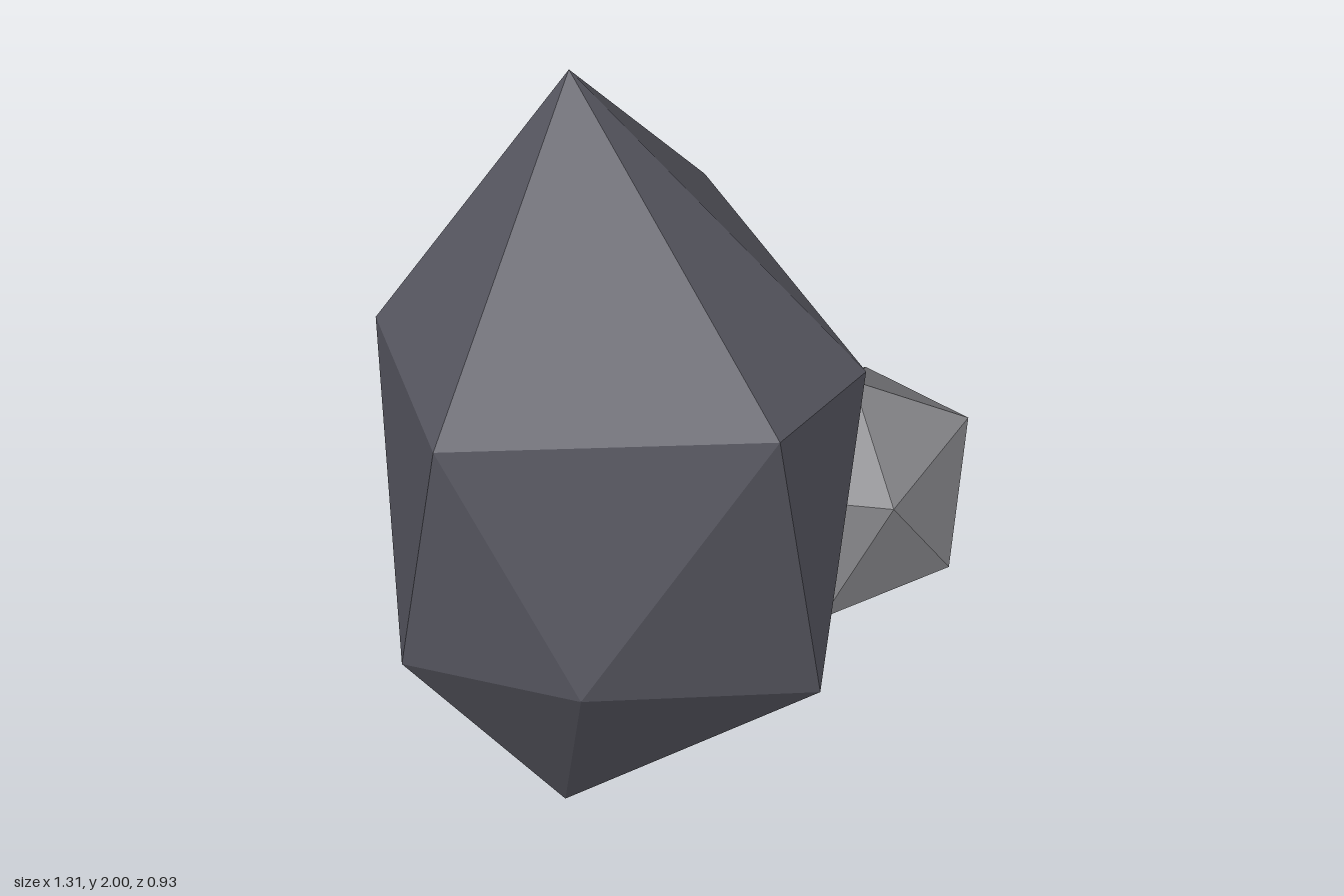
import * as THREE from 'three';

// Rough twenty-sided stone: top point, upper ring, lower ring (staggered half a step), bottom point.
// Rings run counter-clockwise seen from above.
function stone(name, material, top, upper, lower, bottom) {
  const positions = [];
  const n = upper.length;
  for (let i = 0; i < n; i++) {
    const j = (i + 1) % n;
    positions.push(
      ...top, ...upper[i], ...upper[j],
      ...upper[i], ...lower[i], ...upper[j],
      ...upper[j], ...lower[i], ...lower[j],
      ...lower[j], ...lower[i], ...bottom
    );
  }
  const geometry = new THREE.BufferGeometry();
  geometry.setAttribute('position', new THREE.Float32BufferAttribute(positions, 3));
  geometry.computeVertexNormals();
  const mesh = new THREE.Mesh(geometry, material);
  mesh.name = name;
  return mesh;
}

export function createModel() {
  const group = new THREE.Group();
  group.name = 'rocks';

  const darkStone = new THREE.MeshStandardMaterial({ color: 0x5c5c66 });
  darkStone.name = 'dark stone';
  const lightStone = new THREE.MeshStandardMaterial({ color: 0x808084 });
  lightStone.name = 'light stone';

  // Tall main rock
  group.add(stone('tallRock', darkStone,
    [-0.235, 2, -0.015],
    [[-0.565, 1.33, 0.3], [0.11, 1.4, 0.465], [0.37, 1.26, 0.07], [0.11, 1.445, -0.465], [-0.645, 1.36, -0.15]],
    [[-0.29, 0.68, 0.37], [0.26, 0.51, 0.235], [0.245, 0.72, -0.31], [-0.43, 0.57, -0.445], [-0.655, 0.61, 0.11]],
    [-0.29, 0, -0.04]));

  // Small rock half sunk into its side
  group.add(stone('smallRock', lightStone,
    [0.385, 1.1, -0.115],
    [[0.43, 0.93, 0.135], [0.655, 0.96, -0.125], [0.47, 0.95, -0.365], [0.15, 0.93, -0.28], [0.13, 0.93, 0.04]],
    [[0.59, 0.665, 0.035], [0.58, 0.655, -0.245], [0.26, 0.665, -0.4], [0.08, 0.65, -0.13], [0.28, 0.64, 0.135]],
    [0.345, 0.505, -0.13]));

  return group;
}
